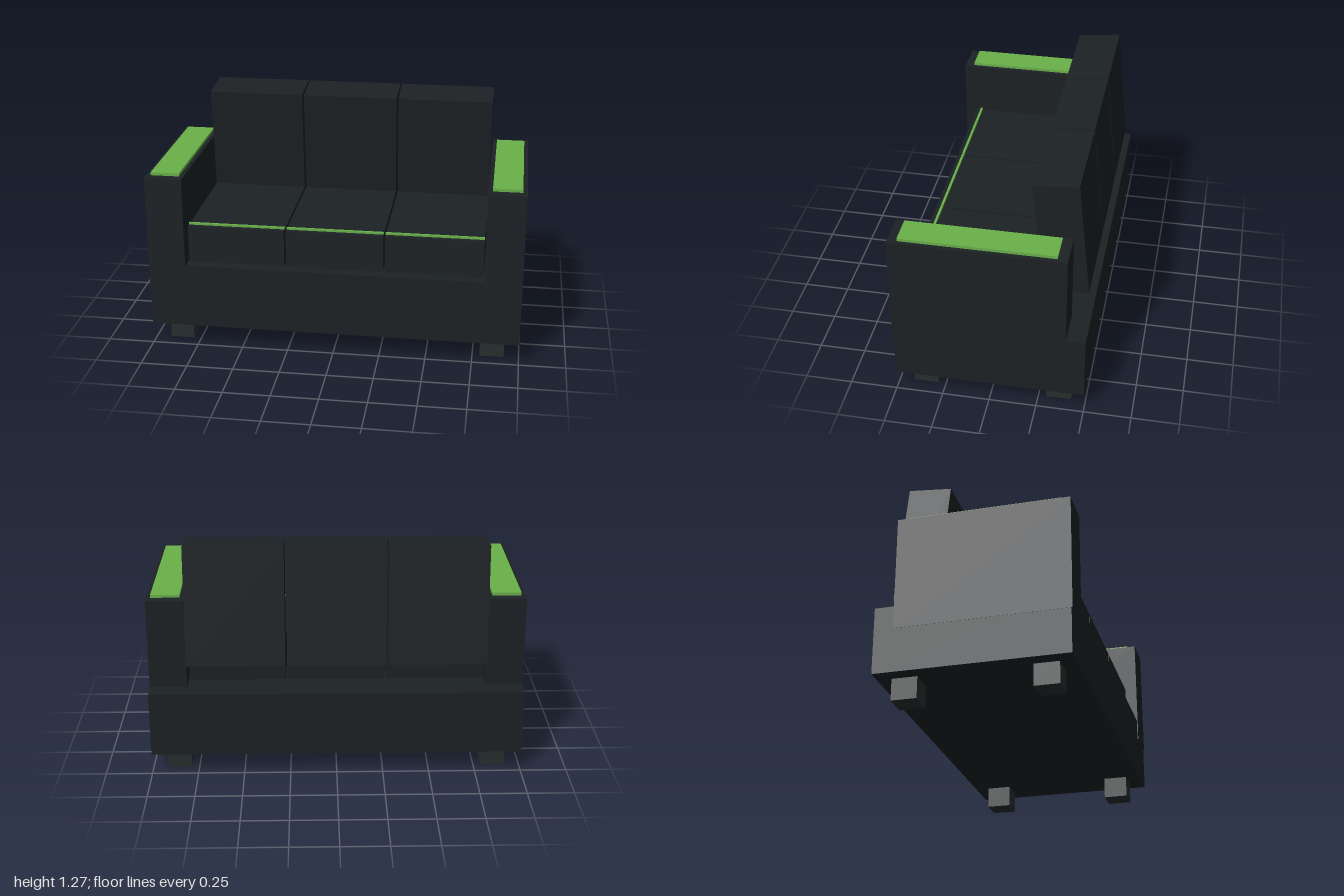
import * as THREE from 'three';

const fabric = new THREE.MeshStandardMaterial({ color: 0x1c2124 });
const legMat = new THREE.MeshStandardMaterial({ color: 0x272e2f });
const green = new THREE.MeshStandardMaterial({ color: 0x6ab04a });

// Box given by its extents on each axis
function block(name, [x0, x1], [y0, y1], [z0, z1], material) {
  const mesh = new THREE.Mesh(new THREE.BoxGeometry(x1 - x0, y1 - y0, z1 - z0), material);
  mesh.position.set((x0 + x1) / 2, (y0 + y1) / 2, (z0 + z1) / 2);
  mesh.name = name;
  return mesh;
}

export function createModel() {
  const sofa = new THREE.Group();
  sofa.name = 'sofa';

  sofa.add(block('base', [-0.999, 0.999], [0.115, 0.47], [-0.5, 0.497], fabric));

  // Arms, arm pads and legs on both sides
  for (const [side, s] of [['left', 1], ['right', -1]]) {
    const span = (a, b) => (s > 0 ? [a, b] : [-b, -a]);
    sofa.add(
      block(side + 'Arm', span(0.8, 1), [0.35, 0.963], [-0.4, 0.502], fabric),
      block(side + 'ArmPad', span(0.823, 0.977), [0.955, 0.979], [-0.348, 0.452], green),
      block(side + 'FrontLeg', span(0.79, 0.92), [0, 0.12], [0.29, 0.42], legMat),
      block(side + 'BackLeg', span(0.79, 0.92), [0, 0.12], [-0.425, -0.292], legMat)
    );
  }

  // Three seat cushions with trim, and three back cushions tipped forward
  const half = 0.261;
  for (let i = -1; i <= 1; i++) {
    const x = i * 0.532;
    const width = [x - half, x + half];
    const back = new THREE.Mesh(new THREE.BoxGeometry(half * 2, 0.643, 0.232), fabric);
    back.name = 'backCushion';
    back.position.set(x, 0.935, -0.337);
    back.rotation.x = 0.098;
    sofa.add(
      block('seatCushion', width, [0.465, 0.675], [-0.31, 0.436], fabric),
      block('seatTrim', width, [0.67, 0.686], [0.398, 0.411], green),
      back
    );
  }
  return sofa;
}
